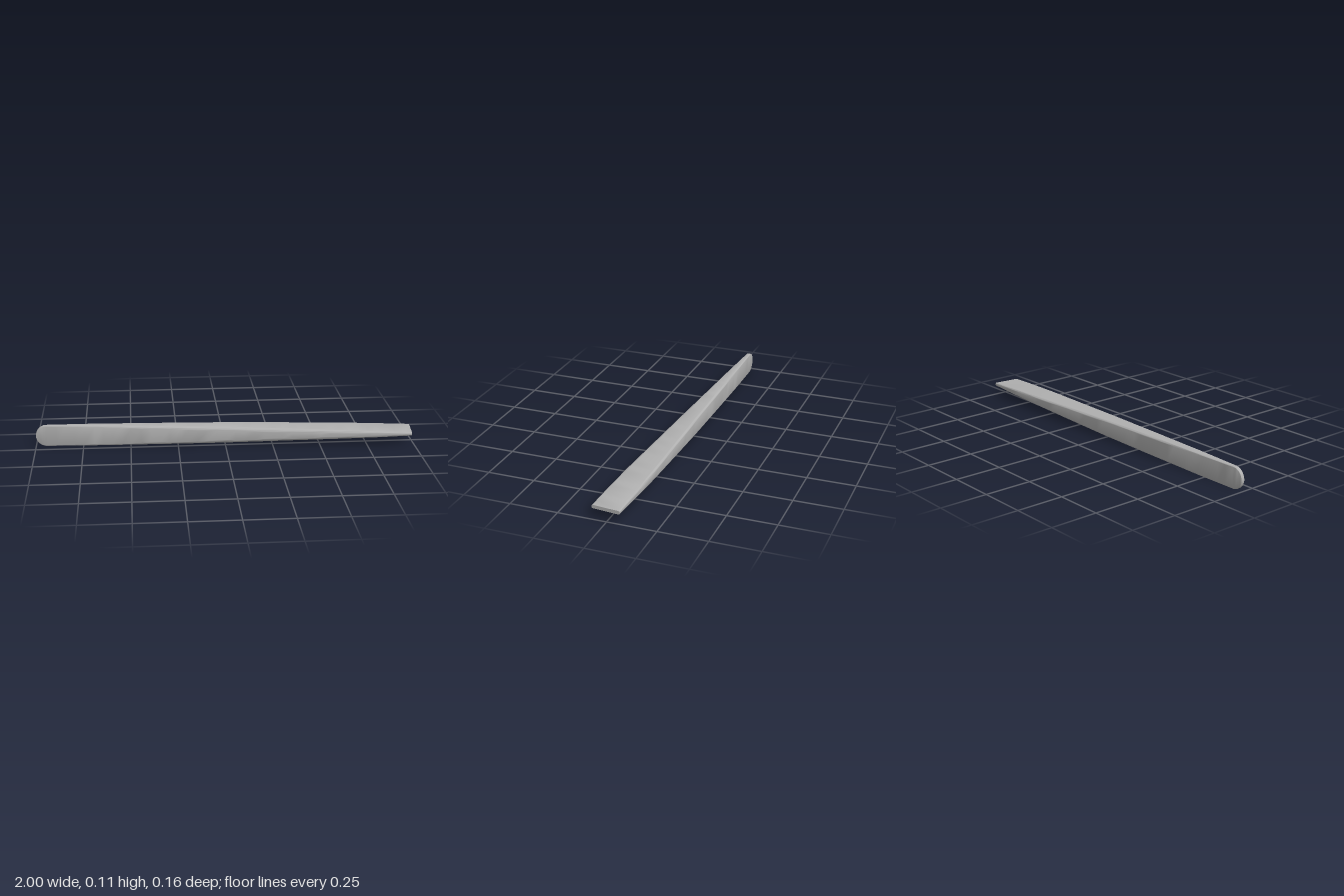
import * as THREE from 'three';
import { toCreasedNormals } from 'three/addons/utils/BufferGeometryUtils.js';

// Stations along the bar: x, back z, front z, half height, centre y, back radius, front radius
const STATIONS = [
  [-1.0, -0.075, -0.057, 0.0565, 0.0575, 0.003, 0.003],
  [-0.7, -0.079, -0.035, 0.0555, 0.058, 0.007, 0.008],
  [-0.3, -0.081, -0.004, 0.05, 0.0585, 0.011, 0.016],
  [0.0, -0.0815, 0.019, 0.0445, 0.059, 0.012, 0.02],
  [0.3, -0.0815, 0.042, 0.035, 0.06, 0.012, 0.02],
  [0.6, -0.08, 0.064, 0.025, 0.061, 0.011, 0.017],
  [0.8, -0.075, 0.074, 0.0175, 0.061, 0.009, 0.012],
  [1.0, -0.067, 0.081, 0.009, 0.061, 0.006, 0.008],
];
const STEPS = 6; // segments per rounded corner
const END_RADIUS = 0.0565;

function stationAt(x) {
  let i = 0;
  while (i < STATIONS.length - 2 && x > STATIONS[i + 1][0]) i++;
  const a = STATIONS[i], b = STATIONS[i + 1];
  const t = (x - a[0]) / (b[0] - a[0]);
  return a.map((v, k) => v + (b[k] - v) * t);
}

// Rounded rectangle across the bar, counter-clockwise seen from +x
function section(x) {
  let [, back, front, half, cy, rb, rf] = stationAt(x);
  const toEnd = x - (END_RADIUS - 1);
  if (toEnd < 0) half = Math.sqrt(Math.max(END_RADIUS ** 2 - toEnd ** 2, 1e-6)); // semicircular tip
  rb = Math.min(rb, half * 0.95);
  rf = Math.min(rf, half * 0.95);
  const points = [];
  for (let corner = 0; corner < 4; corner++) {
    const isBack = corner === 0 || corner === 3;
    const r = isBack ? rb : rf;
    const cz = isBack ? back + r : front - r;
    const y0 = cy + (corner < 2 ? 1 : -1) * (half - r);
    for (let s = 0; s <= STEPS; s++) {
      const a = (corner + s / STEPS) * Math.PI / 2;
      const z = cz - r * Math.cos(a);
      // The wide end is cut at a slight slant
      const slant = 0.1 * Math.max(0, (x - 0.8) / 0.2) * (z + 0.067);
      points.push([x - slant, y0 + r * Math.sin(a), z]);
    }
  }
  return points;
}

function loft(xs) {
  const rings = xs.map(section);
  const n = rings[0].length;
  const position = rings.flat(2);
  const index = [];
  for (let i = 0; i < rings.length - 1; i++) {
    for (let j = 0; j < n; j++) {
      const k = (j + 1) % n;
      const a = i * n + j, b = i * n + k, c = a + n, d = b + n;
      index.push(a, b, c, b, d, c);
    }
  }
  // End caps as fans around the section centres
  for (const last of [false, true]) {
    const ring = last ? rings[rings.length - 1] : rings[0];
    const start = last ? (rings.length - 1) * n : 0;
    const centre = position.length / 3;
    for (let k = 0; k < 3; k++) position.push(ring.reduce((sum, p) => sum + p[k], 0) / n);
    for (let j = 0; j < n; j++) {
      const a = start + j, b = start + (j + 1) % n;
      if (last) index.push(centre, a, b);
      else index.push(centre, b, a);
    }
  }
  const geometry = new THREE.BufferGeometry();
  geometry.setAttribute('position', new THREE.Float32BufferAttribute(position, 3));
  geometry.setIndex(index);
  return toCreasedNormals(geometry, 0.55);
}

export function createModel() {
  const group = new THREE.Group();
  group.name = 'twistedBar';
  const grey = new THREE.MeshStandardMaterial({ color: 0xb0b0b0 });
  grey.name = 'light grey';

  // Fine steps round the tip, then even steps along the length
  const xs = [];
  for (let i = 0; i < 12; i++) xs.push(-1 + END_RADIUS * (1 - Math.cos((i / 12) * Math.PI / 2)));
  for (let i = 0; i <= 39; i++) xs.push(-1 + END_RADIUS + (2 - END_RADIUS) * (i / 39));

  const bar = new THREE.Mesh(loft(xs), grey);
  bar.name = 'bar';
  group.add(bar);
  return group;
}
